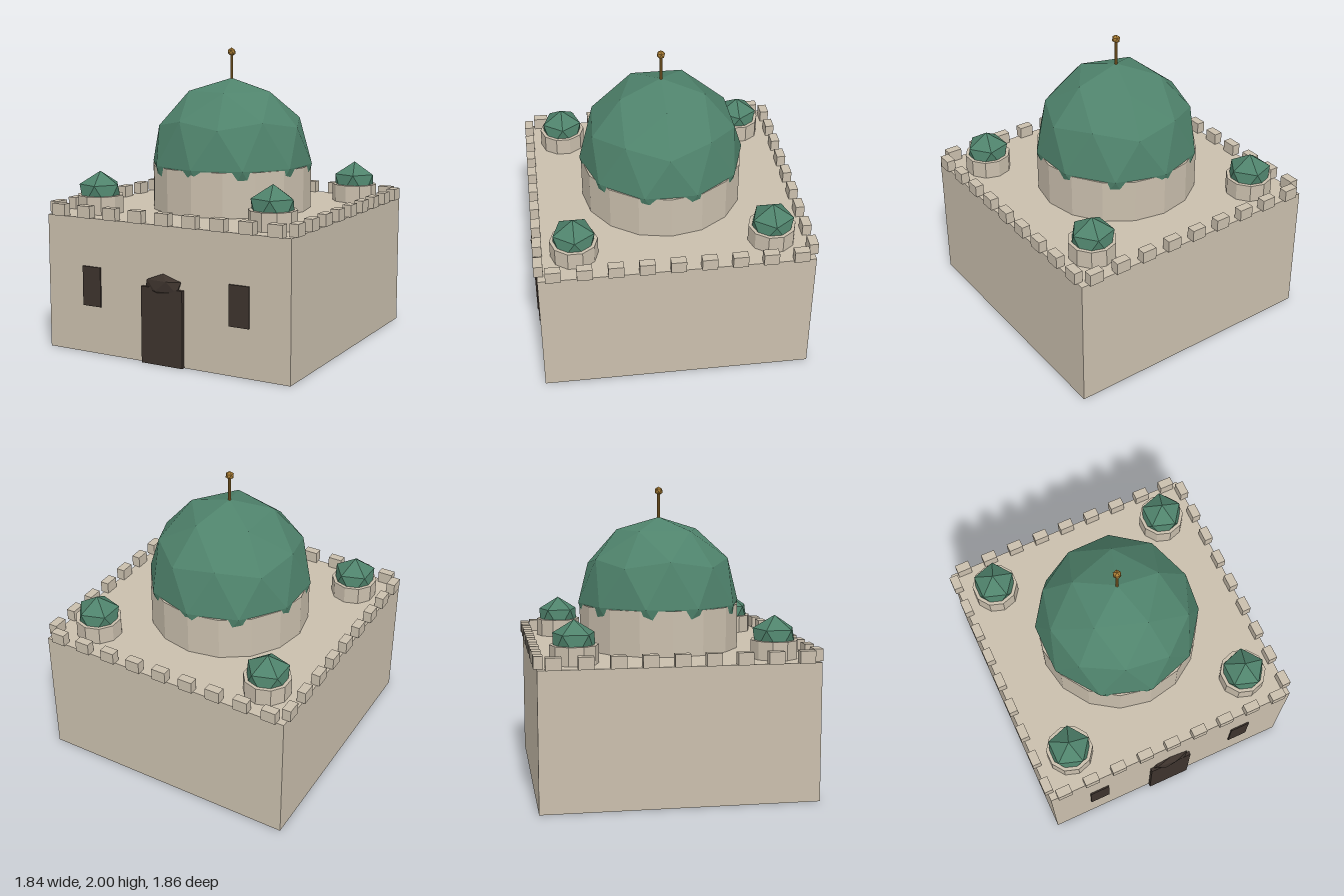
import * as THREE from 'three';

const paint = (name, color) => {
  const m = new THREE.MeshStandardMaterial({ color, flatShading: true });
  m.name = name;
  return m;
};

export function createModel() {
  const stone = paint('sandstone', 0xcabfad);
  const green = paint('dome green', 0x4f836c);
  const dark = paint('dark wood', 0x3d332d);
  const gold = paint('gold', 0xa87c34);

  const model = new THREE.Group();
  model.name = 'domedBuilding';
  model.position.z = -0.008; // the door sticks out at the front

  const add = (name, geometry, material, x, y, z) => {
    const mesh = new THREE.Mesh(geometry, material);
    mesh.name = name;
    mesh.position.set(x, y, z);
    model.add(mesh);
    return mesh;
  };

  // Faceted ball with one corner straight up and the next ring's corner at +x
  const ball = (rx, ry, rz, detail) =>
    new THREE.IcosahedronGeometry(1, detail)
      .rotateZ(-Math.atan2(1, (1 + Math.sqrt(5)) / 2))
      .scale(rx, ry, rz);

  // Main block
  const roof = 0.905;
  add('hall', new THREE.BoxGeometry(1.8, roof, 1.8), stone, 0, roof / 2, 0);

  // Battlements along all four edges
  const merlonX = new THREE.BoxGeometry(0.1, 0.08, 0.06);
  const merlonZ = new THREE.BoxGeometry(0.06, 0.08, 0.1);
  for (let i = -4; i <= 4; i++) {
    for (const side of [-1, 1]) {
      add('merlon', merlonX, stone, i * 0.2, roof + 0.04, side * 0.89);
      add('merlon', merlonZ, stone, side * 0.89, roof + 0.04, i * 0.2);
    }
  }

  // Drum and main dome
  add('drum', new THREE.CylinderGeometry(0.55, 0.55, 0.3, 16), stone, 0, roof + 0.15, 0);
  add('mainDome', ball(0.56, 0.58, 0.56, 1), green, 0, 1.213, 0);

  // Finial
  add('finialRod', new THREE.CylinderGeometry(0.01, 0.01, 0.2, 8), gold, 0, 1.86, 0);
  add('finialBall', ball(0.03, 0.03, 0.03, 0), gold, 0, 1.97, 0);

  // Corner turrets with small domes
  const turret = new THREE.CylinderGeometry(0.157, 0.157, 0.12, 10);
  const smallDome = ball(0.157, 0.158, 0.157, 0);
  for (const x of [-0.65, 0.65]) {
    for (const z of [-0.65, 0.65]) {
      add('turret', turret, stone, x, roof + 0.06, z);
      add('turretDome', smallDome, green, x, roof + 0.12, z);
    }
  }

  // Door with a rounded head
  add('door', new THREE.BoxGeometry(0.305, 0.504, 0.05), dark, 0, 0.252, 0.9);
  add('doorHead', ball(0.15, 0.076, 0.042, 0), dark, 0, 0.519, 0.9);

  // Front windows
  for (const x of [-0.55, 0.55]) {
    add('window', new THREE.BoxGeometry(0.14, 0.265, 0.02), dark, x, 0.451, 0.9);
  }

  const root = new THREE.Group();
  root.name = 'building';
  root.add(model);
  return root;
}
